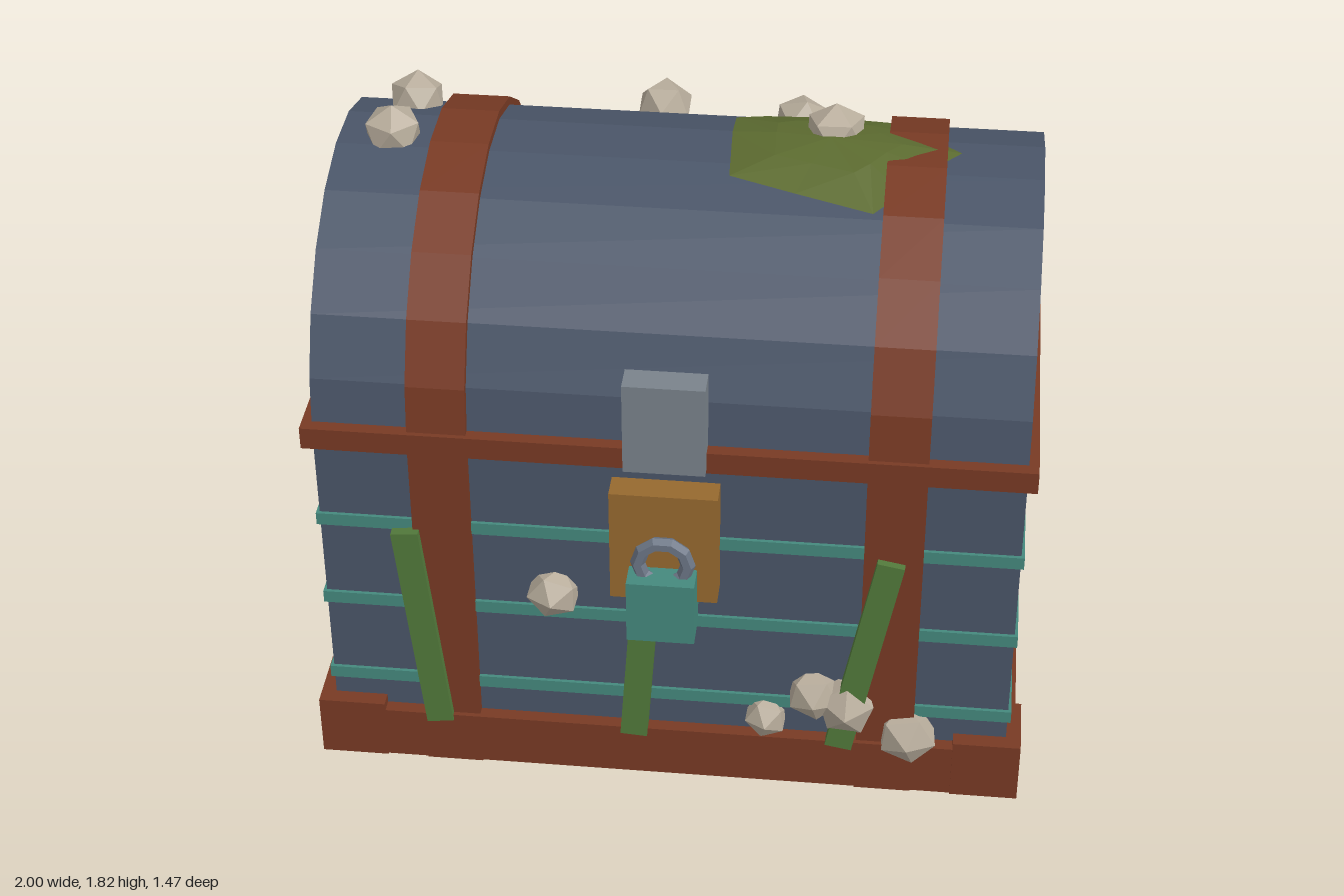
import * as THREE from 'three';

const mat = (name, color, side = THREE.FrontSide) => {
  const m = new THREE.MeshStandardMaterial({ color, side, flatShading: true });
  m.name = name;
  return m;
};

const ZC = -0.037;   // middle of the chest in z
const LID_Y = 1.115; // axis height of the arched lid
const LID_R = 0.612;

export function createModel() {
  const root = new THREE.Group();
  root.name = 'treasureChest';

  const planks = mat('blue planks', 0x4a5568);
  const rust = mat('rusty bands', 0x783a24);
  const teal = mat('teal copper', 0x45897d);
  const steel = mat('grey steel', 0x7a838b);
  const shackleIron = mat('shackle iron', 0x6c7686);
  const brass = mat('old brass', 0x96692f);
  const kelp = mat('kelp green', 0x52793b);
  const moss = mat('moss green', 0x5c6b30, THREE.DoubleSide);
  const shell = mat('barnacle shell', 0xb8ad9c);

  const add = (name, geo, material, x = 0, y = 0, z = 0) => {
    const m = new THREE.Mesh(geo, material);
    m.name = name;
    m.position.set(x, y, z);
    root.add(m);
    return m;
  };
  // Box given by its limits on each axis
  const box = (name, material, [x0, x1], [y0, y1], [z0, z1]) =>
    add(name, new THREE.BoxGeometry(x1 - x0, y1 - y0, z1 - z0), material,
      (x0 + x1) / 2, (y0 + y1) / 2, (z0 + z1) / 2);
  // Eleven-sided arch on straight legs, extruded along x
  const arch = (r, bottom, width) => {
    const pts = [new THREE.Vector2(r, bottom)];
    for (let i = 0; i <= 11; i++) {
      const a = (i / 11) * Math.PI;
      pts.push(new THREE.Vector2(r * Math.cos(a), LID_Y + r * Math.sin(a)));
    }
    pts.push(new THREE.Vector2(-r, bottom));
    return new THREE.ExtrudeGeometry(new THREE.Shape(pts), { depth: width, bevelEnabled: false })
      .translate(0, 0, -width / 2).rotateY(Math.PI / 2);
  };

  // Body and lid
  box('body', planks, [-0.958, 0.958], [0.012, 1.12], [ZC - 0.61, ZC + 0.61]);
  add('lid', arch(LID_R, LID_Y - 0.01, 1.916), planks, 0, 0, ZC);

  // Rim, straps around the chest, base frame and corner blocks
  box('rim', rust, [-0.985, 0.985], [1.095, 1.16], [ZC - 0.642, ZC + 0.642]);
  for (const s of [-1, 1]) {
    add('strap', arch(0.635, 0, 0.16), rust, s * 0.617, 0, ZC);
    box('baseRail', rust, [-0.985, 0.985], [0.016, 0.18],
      [ZC + s * 0.628 - 0.02, ZC + s * 0.628 + 0.02]);
    box('baseEnd', rust, [s * 0.967 - 0.018, s * 0.967 + 0.018], [0.016, 0.18], [ZC - 0.64, ZC + 0.64]);
    for (const t of [-1, 1]) {
      add('cornerBlock', new THREE.BoxGeometry(0.19, 0.19, 0.19), rust,
        s * 0.905, 0.113, ZC + t * 0.56);
    }
  }

  // Copper hoops
  for (const y of [0.29, 0.565, 0.84]) {
    box('hoop', teal, [-0.967, 0.967], [y - 0.019, y + 0.019], [ZC - 0.62, ZC + 0.62]);
  }

  // Hasp, lock plate and padlock
  box('hasp', steel, [-0.11, 0.11], [1.11, 1.385], [0.56, 0.64]);
  box('lockPlate', brass, [-0.148, 0.145], [0.69, 1.04], [0.57, 0.65]);
  box('padlock', teal, [-0.095, 0.09], [0.605, 0.8], [0.615, 0.728]);
  add('shackle', new THREE.TorusGeometry(0.068, 0.021, 6, 10), shackleIron, 0, 0.836, 0.675);

  // Kelp strips: top x, bottom x
  for (const [xt, xb] of [[-0.717, -0.65], [-0.045, -0.093], [0.612, 0.487]]) {
    const strip = add('kelpStrip', new THREE.BoxGeometry(0.076, 0.675, 0.03), kelp,
      (xt + xb) / 2, 0.498, 0.605);
    strip.rotation.z = -Math.atan2(xt - xb, 0.665);
  }

  // Moss patch draped over the lid: outline as x, z
  const outline = [[0.11, -0.22], [0.19, -0.26], [0.37, -0.3], [0.55, -0.25], [0.62, -0.15],
    [0.735, -0.04], [0.66, 0.04], [0.585, 0.14], [0.51, 0.21], [0.3, 0.16], [0.12, 0.11], [0.11, -0.1]];
  const lidY = (z) => LID_Y + Math.sqrt(LID_R ** 2 - (z - ZC) ** 2);
  const cx = 0.38, cz = -0.05, n = outline.length;
  const pos = [cx, lidY(cz) + 0.034, cz];
  for (const [k, lift] of [[0.55, 0.026], [1, 0.01]]) {
    for (const [x, z] of outline) {
      const pz = cz + (z - cz) * k;
      pos.push(cx + (x - cx) * k, lidY(pz) + lift, pz);
    }
  }
  const idx = [];
  for (let i = 0; i < n; i++) {
    const a = 1 + i, b = 1 + ((i + 1) % n);
    idx.push(0, b, a, a, b, b + n, a, b + n, a + n);
  }
  const patch = new THREE.BufferGeometry();
  patch.setAttribute('position', new THREE.Float32BufferAttribute(pos, 3));
  patch.setIndex(idx);
  patch.computeVertexNormals();
  add('mossPatch', patch, moss);

  // Barnacles: rough pebbles with one point facing out of the surface
  const up = new THREE.Vector3(0, 1, 0);
  const pebble = new THREE.IcosahedronGeometry(1, 0).rotateZ(Math.atan(2 / (1 + Math.sqrt(5))));
  const barnacle = (x, y, z, r, normal, i) => {
    const m = add('barnacle', pebble, shell, x, y, z);
    m.quaternion.setFromUnitVectors(up, normal.normalize());
    m.rotateY(i * 1.7);
    m.scale.set(r, r * 0.95, r * (0.94 + 0.08 * (i % 3)));
  };
  // On the front
  [[-0.315, 0.635, 0.08], [0.415, 0.33, 0.08], [0.505, 0.3, 0.09], [0.28, 0.235, 0.068], [0.68, 0.205, 0.09]]
    .forEach(([x, y, r], i) => barnacle(x, y, 0.578, r, new THREE.Vector3(0, 0, 1), i));
  // On the back
  [[0.36, 0.51, 0.08], [-0.02, 0.61, 0.1], [0.235, 0.32, 0.078], [-0.67, 0.69, 0.075]]
    .forEach(([x, y, r], i) => barnacle(x, y, -0.645, r, new THREE.Vector3(0, 0, -1), i));
  // On the lid
  [[-0.79, 1.7, -0.255], [-0.81, 1.738, -0.005], [-0.11, 1.625, -0.415], [-0.08, 1.33, -0.64],
    [0.275, 1.55, -0.495], [0.39, 1.742, -0.12]]
    .forEach(([x, y, z], i) => barnacle(x, y, z, 0.083, new THREE.Vector3(0, y - LID_Y, z - ZC), i));

  return root;
}
